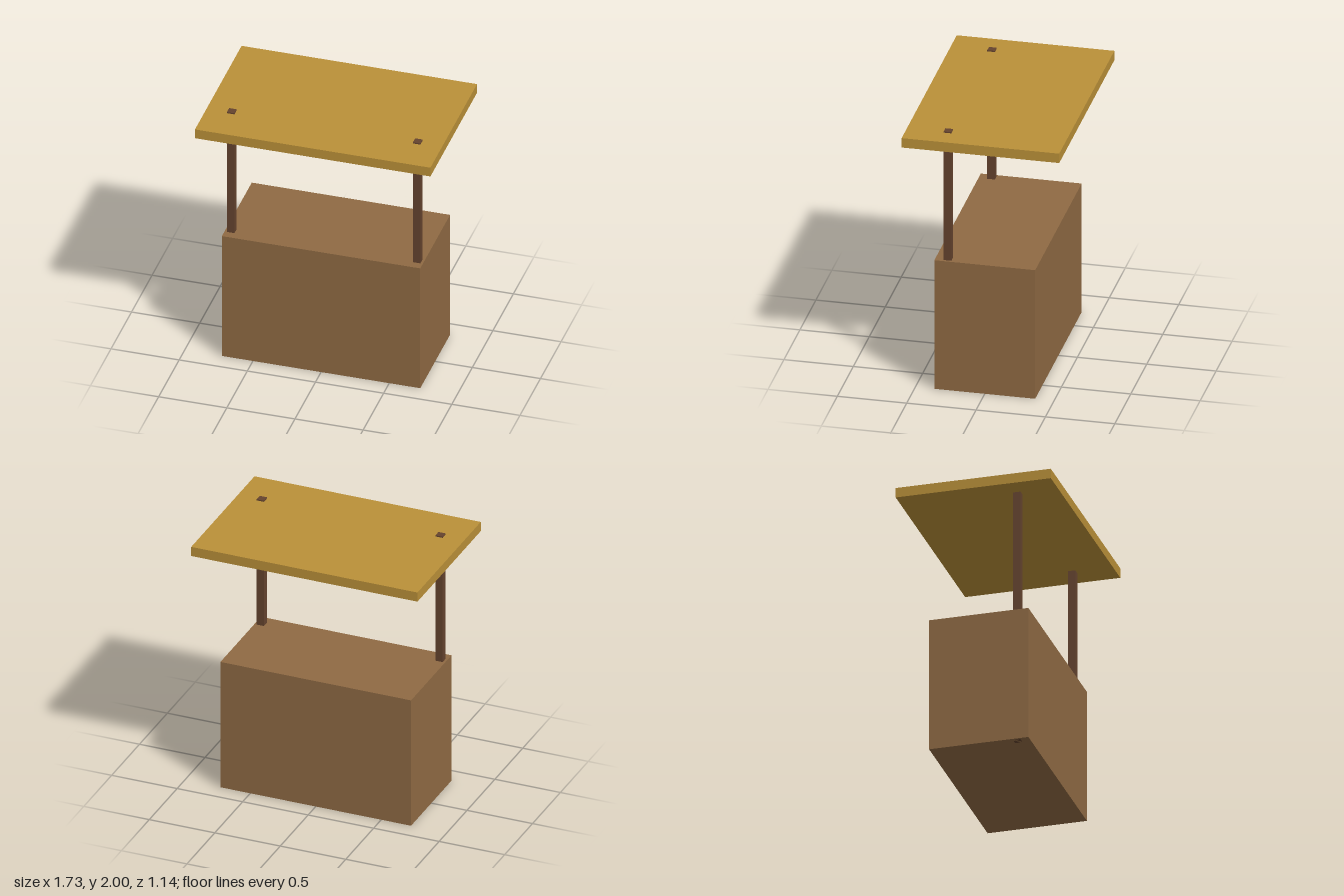
import * as THREE from 'three';

export function createModel() {
  const group = new THREE.Group();

  // Box with its underside at height y
  function addBox(name, [w, h, d], [x, y, z], color) {
    const material = new THREE.MeshStandardMaterial({ color });
    const mesh = new THREE.Mesh(new THREE.BoxGeometry(w, h, d), material);
    mesh.name = name;
    mesh.position.set(x, y + h / 2, z);
    group.add(mesh);
  }

  // Solid counter
  addBox('counter', [1.455, 1, 0.727], [0, 0, 0], 0x8f6a43);

  // Flat roof overhanging the counter
  addBox('roof', [1.727, 0.073, 1.136], [0, 1.918, 0], 0xba9038);

  // Two front posts run from the ground through the roof
  for (const [name, side] of [['leftPost', 1], ['rightPost', -1]]) {
    addBox(name, [0.055, 2, 0.055], [side * 0.682, 0, 0.273], 0x64432e);
  }

  return group;
}
